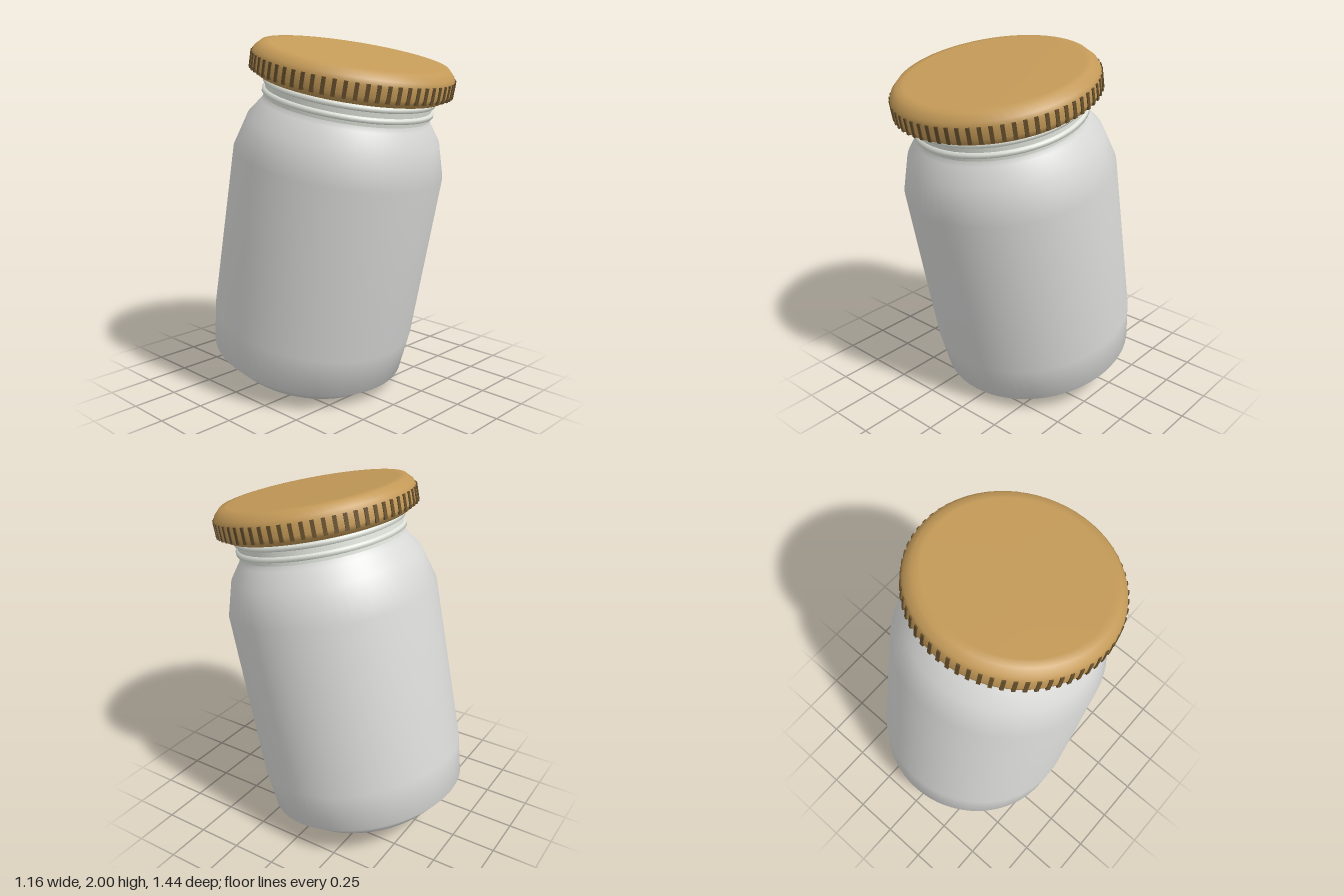
import * as THREE from 'three';

const glass = new THREE.MeshStandardMaterial({ color: 0xd9dad8 });
glass.name = 'pale grey body';
const neckGlass = new THREE.MeshStandardMaterial({ color: 0xdfe3da });
neckGlass.name = 'pale green neck';
const lidGold = new THREE.MeshStandardMaterial({ color: 0xc49a58 });
lidGold.name = 'golden lid';
const ribBrown = new THREE.MeshStandardMaterial({ color: 0x664f2c });
ribBrown.name = 'brown ribs';

const TILT = 0.211;
const RIBS = 64;

// Smooth turned part from [radius, height] pairs, listed bottom to top
function turned(name, points, material) {
  const profile = points.map(([r, y]) => new THREE.Vector2(r, y));
  const mesh = new THREE.Mesh(new THREE.LatheGeometry(profile, 64), material);
  mesh.name = name;
  return mesh;
}

export function createModel() {
  const model = new THREE.Group();
  model.name = 'leaningJar';

  // The whole jar leans towards the front
  const jar = new THREE.Group();
  jar.name = 'jar';
  jar.rotation.x = TILT;
  jar.position.set(0, 0.095, -0.185);
  model.add(jar);

  // Body with bevelled base and sloping shoulder
  jar.add(turned('body', [
    [0, 0], [0.455, 0], [0.56, 0.089], [0.58, 0.31],
    [0.58, 1.262], [0.525, 1.446], [0.462, 1.534], [0.452, 1.56],
  ], glass));

  // Neck and its two screw threads
  jar.add(turned('neck', [[0.452, 1.555], [0.45, 1.72]], neckGlass));
  for (const y of [1.592, 1.648]) {
    jar.add(turned('thread', [
      [0.448, y - 0.016], [0.466, y - 0.01], [0.466, y + 0.01], [0.448, y + 0.016],
    ], neckGlass));
  }

  // Lid with chamfered edges, closed underneath
  jar.add(turned('lid', [
    [0.44, 1.69], [0.5, 1.673], [0.535, 1.695], [0.545, 1.72],
    [0.545, 1.775], [0.535, 1.805], [0.502, 1.838], [0.46, 1.842], [0, 1.842],
  ], lidGold));

  // Grip ribs around the lid
  const ribGeometry = new THREE.BoxGeometry(0.02, 0.085, 0.016);
  const ribs = new THREE.Group();
  ribs.name = 'lidRibs';
  for (let i = 0; i < RIBS; i++) {
    const a = (i / RIBS) * Math.PI * 2;
    const rib = new THREE.Mesh(ribGeometry, ribBrown);
    rib.name = 'rib';
    rib.position.set(Math.sin(a) * 0.541, 1.742, Math.cos(a) * 0.541);
    rib.rotation.y = a;
    ribs.add(rib);
  }
  jar.add(ribs);

  return model;
}
